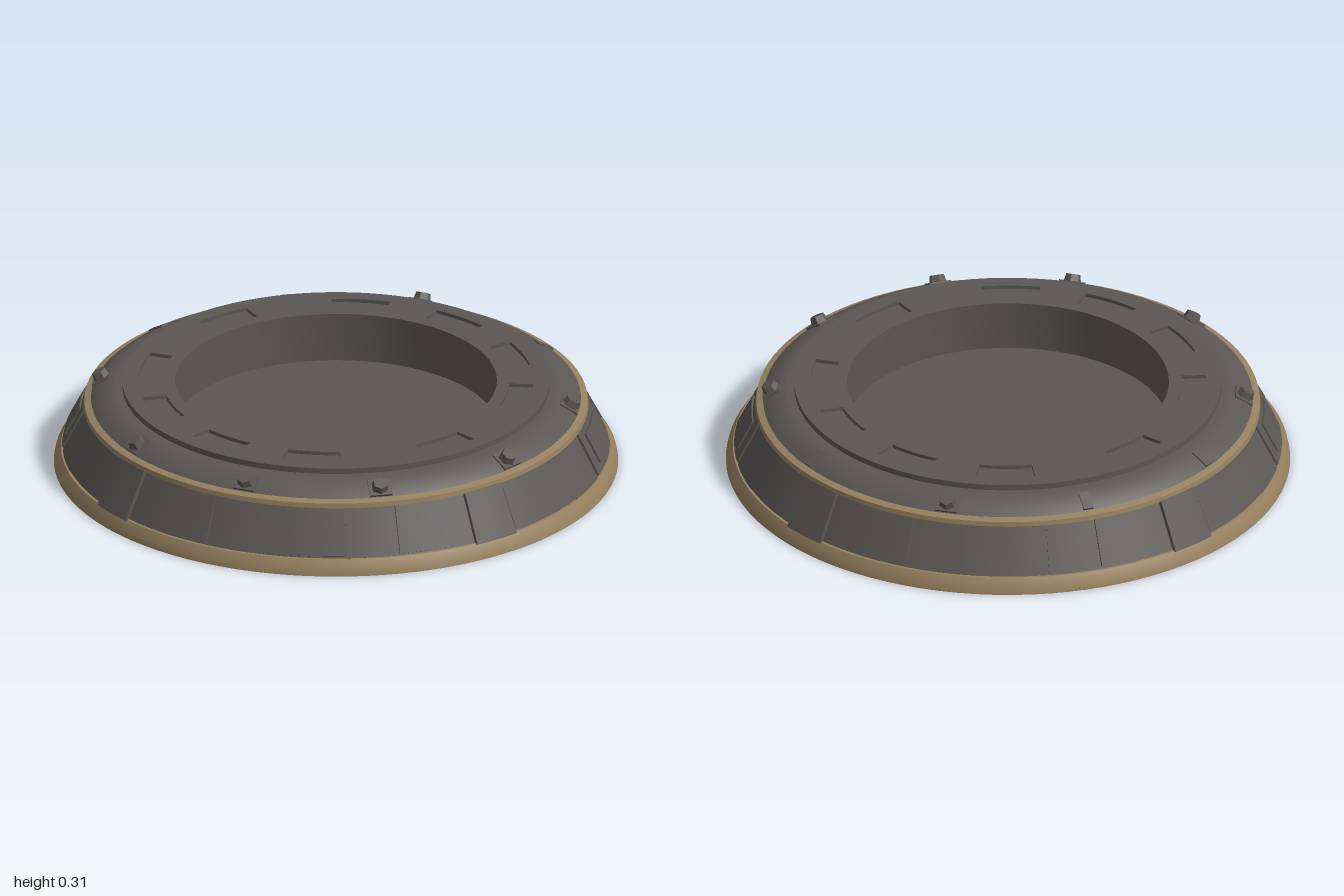
import * as THREE from 'three';
import { toCreasedNormals } from 'three/addons/utils/BufferGeometryUtils.js';

const SEGMENTS = 96;
const RAD = Math.PI / 180;

export function createModel() {
  const group = new THREE.Group();
  group.name = 'roundBase';

  const hull = new THREE.MeshStandardMaterial({ color: 0x5b5754 });
  hull.name = 'dark grey metal';
  const trim = new THREE.MeshStandardMaterial({ color: 0x96815f });
  trim.name = 'tan trim';

  const add = (name, geometry, material, parent = group) => {
    const mesh = new THREE.Mesh(geometry, material);
    mesh.name = name;
    parent.add(mesh);
    return mesh;
  };

  // Turned part from [radius, height] pairs, listed from the underside up and inwards
  const turned = (name, profile, material) => {
    const points = profile.map(([r, y]) => new THREE.Vector2(r, y));
    return add(name, toCreasedNormals(new THREE.LatheGeometry(points, SEGMENTS), 0.4), material);
  };

  turned('underside', [[0, 0], [1, 0]], hull);
  turned('baseTrim', [[1, 0], [0.995, 0.025], [0.975, 0.055], [0.965, 0.055]], trim);
  turned('skirt', [[0.965, 0.055], [0.88, 0.218]], hull);
  turned('upperTrim', [[0.88, 0.215], [0.895, 0.218], [0.892, 0.235], [0.868, 0.242]], trim);
  turned('shoulder', [[0.868, 0.242], [0.85, 0.258], [0.805, 0.283], [0.78, 0.287],
    [0.745, 0.287], [0.74, 0.297], [0.57, 0.297]], hull);
  turned('well', [[0.57, 0.31], [0.57, 0.13], [0, 0.13]], hull);

  // Flat top ring with curved pockets cut through to the shoulder below
  const ring = new THREE.Shape().absarc(0, 0, 0.757, 0, Math.PI * 2, false);
  ring.holes.push(new THREE.Path().absarc(0, 0, 0.57, 0, Math.PI * 2, true));
  for (const angle of [0, 43, 75, 106, 137, 180, 223, 254, 285, 317]) {
    const mid = (90 - angle) * RAD;
    const half = 8.7 * RAD;
    const pocket = new THREE.Path();
    pocket.absarc(0, 0, 0.7, mid - half, mid + half, false);
    pocket.absarc(0, 0, 0.615, mid + half, mid - half, true);
    pocket.closePath();
    ring.holes.push(pocket);
  }
  const ringGeometry = new THREE.ExtrudeGeometry(ring, { depth: 0.021, bevelEnabled: false, curveSegments: 48 });
  ringGeometry.rotateX(-Math.PI / 2).translate(0, 0.289, 0);
  add('topRing', toCreasedNormals(ringGeometry, 0.4), hull);

  // Box bent around the sloping skirt: angles in degrees, t runs up the slope
  const bentPlate = (name, from, to, t0, t1, height) => {
    const geometry = new THREE.BoxGeometry(1, 1, 1, 8, 1, 1);
    const p = geometry.attributes.position;
    for (let i = 0; i < p.count; i++) {
      const angle = THREE.MathUtils.lerp(from, to, p.getX(i) + 0.5) * RAD;
      const t = THREE.MathUtils.lerp(t0, t1, p.getY(i) + 0.5);
      const out = p.getZ(i) > 0 ? height : -0.004;
      const r = 0.965 - 0.085 * t + out * 0.887;
      p.setXYZ(i, r * Math.sin(angle), 0.055 + 0.163 * t + out * 0.462, r * Math.cos(angle));
    }
    add(name, toCreasedNormals(geometry, 0.4), hull);
  };

  // Armour panels around the skirt, separated by narrower ribs
  const ribs = [[0, 5], [32, 5.8], [62, 5.5], [90, 5], [122, 5.8], [152, 5.5]];
  for (const turn of [0, 180]) {
    ribs.forEach(([angle, half], i) => {
      const mid = angle + turn;
      const [nextAngle, nextHalf] = i < 5 ? ribs[i + 1] : [180, 5];
      const start = mid + half + 0.4;
      const end = nextAngle + turn - nextHalf - 0.4;
      const cardinal = angle % 90 === 0;
      bentPlate('skirtRib', mid - half, mid + half, cardinal ? -0.05 : 0, 0.98, cardinal ? 0.016 : 0.004);
      bentPlate('skirtPanel', start, end, 0.03, 0.96, 0.009);
      if (i === 1) {
        bentPlate('accessHatch', start + 3, end - 3, 0.18, 0.82, 0.016);
      }
    });
  }

  // Hex bolts on square pads around the shoulder; some pads are empty
  const bolts = [[10.5, 1], [46.5, 1], [83, 0], [123, 1], [157, 0], [193, 0], [226, 1], [267, 1], [302, 1], [335, 1]];
  for (const [angle, hasBolt] of bolts) {
    const turn = new THREE.Group();
    turn.name = 'boltMount';
    turn.rotation.y = angle * RAD;
    const seat = new THREE.Group();
    seat.name = 'boltSeat';
    seat.position.set(0, 0.264, 0.836);
    seat.rotation.x = 30 * RAD;
    turn.add(seat);
    add('boltPad', new THREE.BoxGeometry(hasBolt ? 0.08 : 0.035, 0.012, 0.07), hull, seat);
    if (hasBolt) {
      const head = new THREE.CylinderGeometry(0.026, 0.032, 0.026, 6);
      add('boltHead', toCreasedNormals(head, 0.4), hull, seat).position.y = 0.018;
    }
    group.add(turn);
  }

  return group;
}
